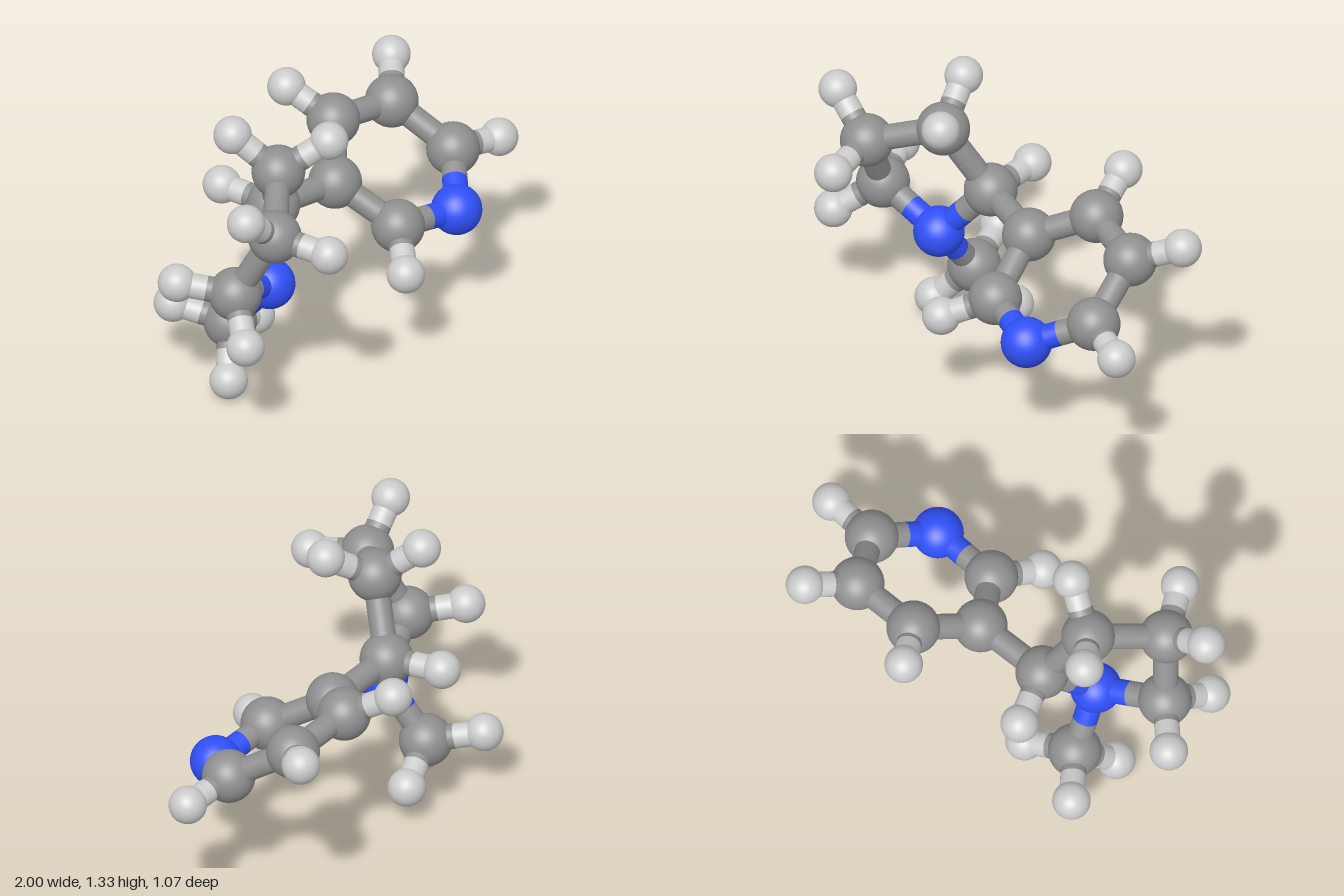
import * as THREE from 'three';

const BOND_RADIUS = 0.055;
const KINDS = {
  C: { name: 'carbon', radius: 0.116, color: 0x909090 },
  N: { name: 'nitrogen', radius: 0.111, color: 0x3050f8 },
  H: { name: 'hydrogen', radius: 0.083, color: 0xcccccc },
};

// Heavy atoms: kind, centre, and the centres of the hydrogens each carries
const ATOMS = {
  // six-membered flat ring
  ringA1: ['C', [0.06, 0.77, -0.06], []],
  ringA2: ['C', [0.155, 0.605, 0.21], [[-0.005, 0.505, 0.378]]],
  ringA3: ['N', [0.46, 0.566, 0.29], []],
  ringA4: ['C', [0.68, 0.69, 0.098], [[0.914, 0.657, 0.166]]],
  ringA5: ['C', [0.6, 0.865, -0.175], [[0.78, 0.955, -0.318]]],
  ringA6: ['C', [0.287, 0.9, -0.248], [[0.222, 1.02, -0.453]]],
  // five-membered puckered ring
  ringB1: ['C', [-0.28, 0.8, -0.13], [[-0.31, 0.815, -0.388]]],
  ringB2: ['C', [-0.427, 1.1, 0.013], [[-0.51, 1.255, -0.172], [-0.265, 1.235, 0.163]]],
  ringB3: ['C', [-0.703, 0.985, 0.21], [[-0.9, 1.15, 0.208], [-0.636, 0.953, 0.454]]],
  ringB4: ['C', [-0.78, 0.67, 0.055], [[-0.915, 0.71, -0.158], [-0.917, 0.53, 0.218]]],
  ringB5: ['N', [-0.471, 0.544, 0], []],
  // end group hanging from the five-membered ring
  methyl: ['C', [-0.482, 0.276, -0.208],
    [[-0.627, 0.088, -0.102], [-0.256, 0.177, -0.245], [-0.59, 0.332, -0.436]]],
};

const BONDS = [
  ['ringA1', 'ringA2'], ['ringA2', 'ringA3'], ['ringA3', 'ringA4'],
  ['ringA4', 'ringA5'], ['ringA5', 'ringA6'], ['ringA6', 'ringA1'],
  ['ringB1', 'ringB2'], ['ringB2', 'ringB3'], ['ringB3', 'ringB4'],
  ['ringB4', 'ringB5'], ['ringB5', 'ringB1'],
  ['ringA1', 'ringB1'], ['ringB5', 'methyl'],
];

export function createModel() {
  const model = new THREE.Group();
  model.name = 'molecule';

  const materials = {};
  const spheres = {};
  for (const [kind, { radius, color }] of Object.entries(KINDS)) {
    materials[kind] = new THREE.MeshStandardMaterial({ color });
    spheres[kind] = new THREE.SphereGeometry(radius, 40, 24);
  }
  const rod = new THREE.CylinderGeometry(BOND_RADIUS, BOND_RADIUS, 1, 28, 1, true);
  const up = new THREE.Vector3(0, 1, 0);

  function addAtom(kind, centre, label) {
    const atom = new THREE.Mesh(spheres[kind], materials[kind]);
    atom.name = `${KINDS[kind].name} ${label}`;
    atom.position.copy(centre);
    model.add(atom);
  }

  // Each half of a bond takes the colour of its nearer atom
  function addBond(kindA, a, kindB, b, label) {
    const bond = new THREE.Group();
    bond.name = `bond ${label}`;
    const middle = a.clone().lerp(b, 0.5);
    for (const [kind, end] of [[kindA, a], [kindB, b]]) {
      const half = new THREE.Mesh(rod, materials[kind]);
      const along = middle.clone().sub(end);
      half.name = `${KINDS[kind].name} half`;
      half.scale.y = along.length();
      half.position.copy(end).lerp(middle, 0.5);
      half.quaternion.setFromUnitVectors(up, along.normalize());
      bond.add(half);
    }
    model.add(bond);
  }

  // Atoms with their hydrogens
  for (const [label, [kind, p, hydrogens]] of Object.entries(ATOMS)) {
    const centre = new THREE.Vector3(...p);
    addAtom(kind, centre, label);
    hydrogens.forEach((h, i) => {
      const end = new THREE.Vector3(...h);
      addAtom('H', end, `${label} ${i + 1}`);
      addBond(kind, centre, 'H', end, `${label} to hydrogen ${i + 1}`);
    });
  }

  // Bonds of the rings, the link between them and the end group
  for (const [from, to] of BONDS) {
    const [kindA, a] = ATOMS[from];
    const [kindB, b] = ATOMS[to];
    addBond(kindA, new THREE.Vector3(...a), kindB, new THREE.Vector3(...b), `${from} to ${to}`);
  }

  return model;
}
